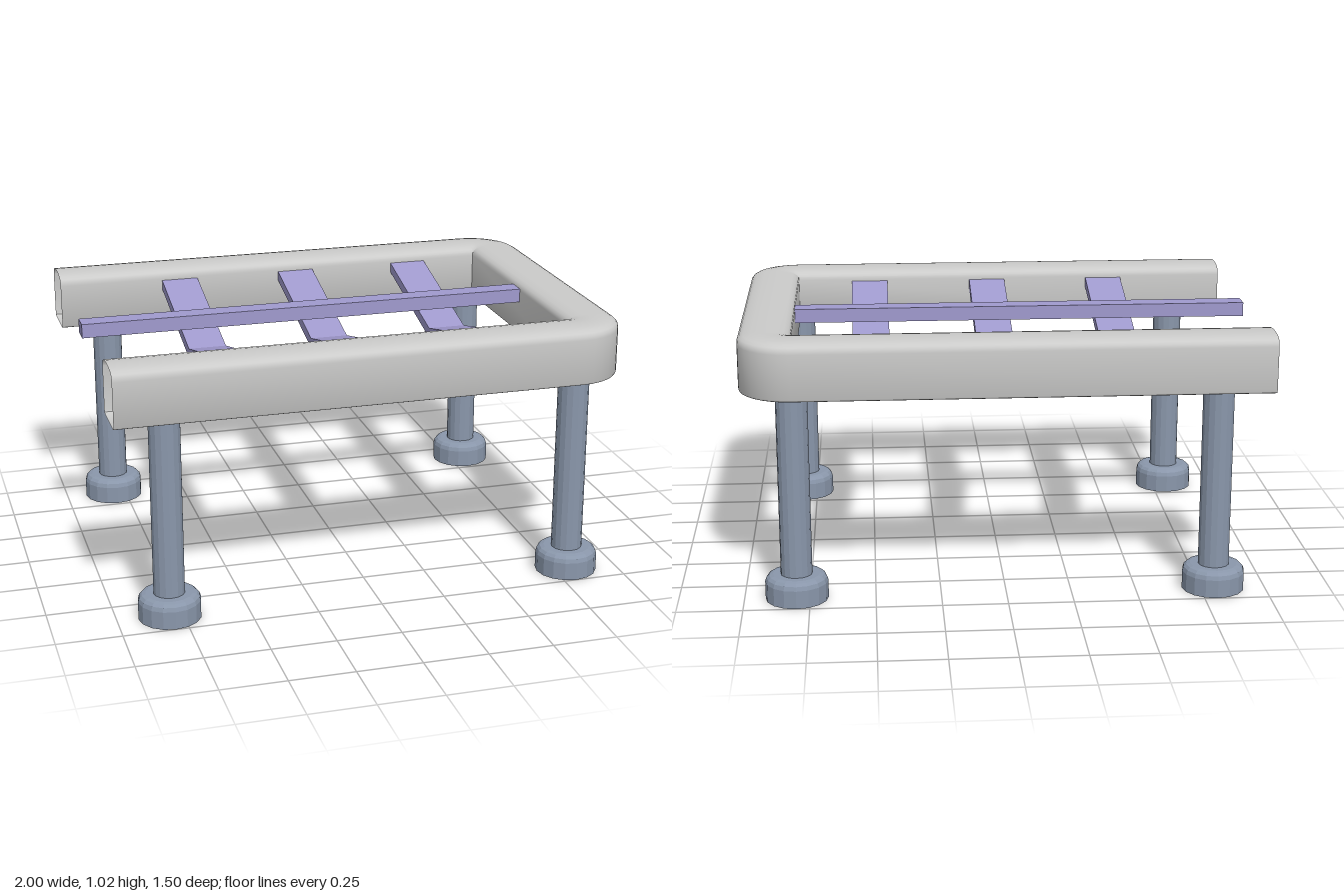
import * as THREE from 'three';
import { toCreasedNormals } from 'three/addons/utils/BufferGeometryUtils.js';

// U-shaped hollow rail: one cross-section swept around two corner pivots
function railGeometry() {
  // cross-section: distance outward from the inner wall, height
  const half = [[0.1, 1.02], [0.145, 1.018], [0.175, 1.012], [0.19, 1.004], [0.198, 0.994], [0.2, 0.98],
    [0.2, 0.81], [0.197, 0.803], [0.19, 0.8]];
  const inner = half.slice(1).map(([d, y]) => [0.2 - d, y]).reverse();
  const profile = [...inner, ...half].reverse();
  profile.push(profile[0]);

  // stations: pivot x, pivot z, outward angle
  const stations = [[-1, 0.53, Math.PI / 2]];
  const steps = 8;
  for (const side of [1, -1]) {
    for (let i = 0; i <= steps; i++) {
      const t = i / steps;
      stations.push([0.8, 0.53 * side, (side > 0 ? 1 - t : -t) * Math.PI / 2]);
    }
  }
  stations.push([-1, -0.53, -Math.PI / 2]);

  const n = profile.length;
  const pos = [];
  const index = [];
  stations.forEach(([x, z, a], i) => {
    profile.forEach(([d, y], j) => {
      pos.push(x + d * Math.cos(a), y, z + d * Math.sin(a));
      if (i < stations.length - 1 && j < n - 1) {
        // profile runs outer wall upwards -> inner wall downwards
        const p = i * n + j, q = p + n;
        index.push(p, p + 1, q, q, p + 1, q + 1);
      }
    });
  });
  // make the faces point outward for this profile direction
  for (let k = 0; k < index.length; k += 3) [index[k + 1], index[k + 2]] = [index[k + 2], index[k + 1]];
  const g = new THREE.BufferGeometry();
  g.setAttribute('position', new THREE.Float32BufferAttribute(pos, 3));
  g.setIndex(index);
  return toCreasedNormals(g, 0.6);
}

// Shallow V-shaped cross slat, lowest in the middle
function slatGeometry() {
  const s = new THREE.Shape();
  const end = 0.535, high = 0.975, low = 0.84, t = 0.04;
  s.moveTo(-end, high);
  s.lineTo(-end, high - t);
  s.lineTo(0, low - t);
  s.lineTo(end, high - t);
  s.lineTo(end, high);
  s.lineTo(0, low);
  s.closePath();
  const g = new THREE.ExtrudeGeometry(s, { depth: 0.15, bevelEnabled: false });
  return g.translate(0, 0, -0.075).rotateY(Math.PI / 2);
}

export function createModel() {
  const model = new THREE.Group();
  model.name = 'frame';

  const railGrey = new THREE.MeshStandardMaterial({ color: 0xcbcbca, side: THREE.DoubleSide });
  railGrey.name = 'railGrey';
  const legBlue = new THREE.MeshStandardMaterial({ color: 0x8a97ab, side: THREE.DoubleSide, flatShading: true });
  legBlue.name = 'legBlueGrey';
  const violet = new THREE.MeshStandardMaterial({ color: 0xa09ace });
  violet.name = 'slatViolet';

  const add = (parent, name, geometry, material, x = 0, y = 0, z = 0) => {
    const mesh = new THREE.Mesh(geometry, material);
    mesh.name = name;
    mesh.position.set(x, y, z);
    parent.add(mesh);
    return mesh;
  };

  add(model, 'rail', railGeometry(), railGrey);

  // four legs with hollow, round-shouldered feet
  const post = new THREE.CylinderGeometry(0.06, 0.06, 0.71, 16, 1, true);
  const foot = new THREE.LatheGeometry(
    [[0.12, 0], [0.12, 0.07], [0.115, 0.086], [0.105, 0.096], [0.09, 0.1], [0.06, 0.1]]
      .map(([r, y]) => new THREE.Vector2(r, y)), 16);
  for (const [sx, xName] of [[1, 'Left'], [-1, 'Right']]) {
    for (const [sz, zName] of [[1, 'front'], [-1, 'back']]) {
      const leg = new THREE.Group();
      leg.name = zName + xName + 'Leg';
      leg.position.set(0.8 * sx, 0, 0.63 * sz);
      add(leg, 'post', post, legBlue, 0, 0.45, 0);
      add(leg, 'foot', foot, legBlue);
      model.add(leg);
    }
  }

  // cross slats and the long centre bar above them
  const slat = slatGeometry();
  for (const x of [-0.5, 0, 0.5]) add(model, 'crossSlat', slat, violet, x);
  add(model, 'centreBar', new THREE.BoxGeometry(1.81, 0.055, 0.08), violet, -0.095, 0.96, 0);

  return model;
}
